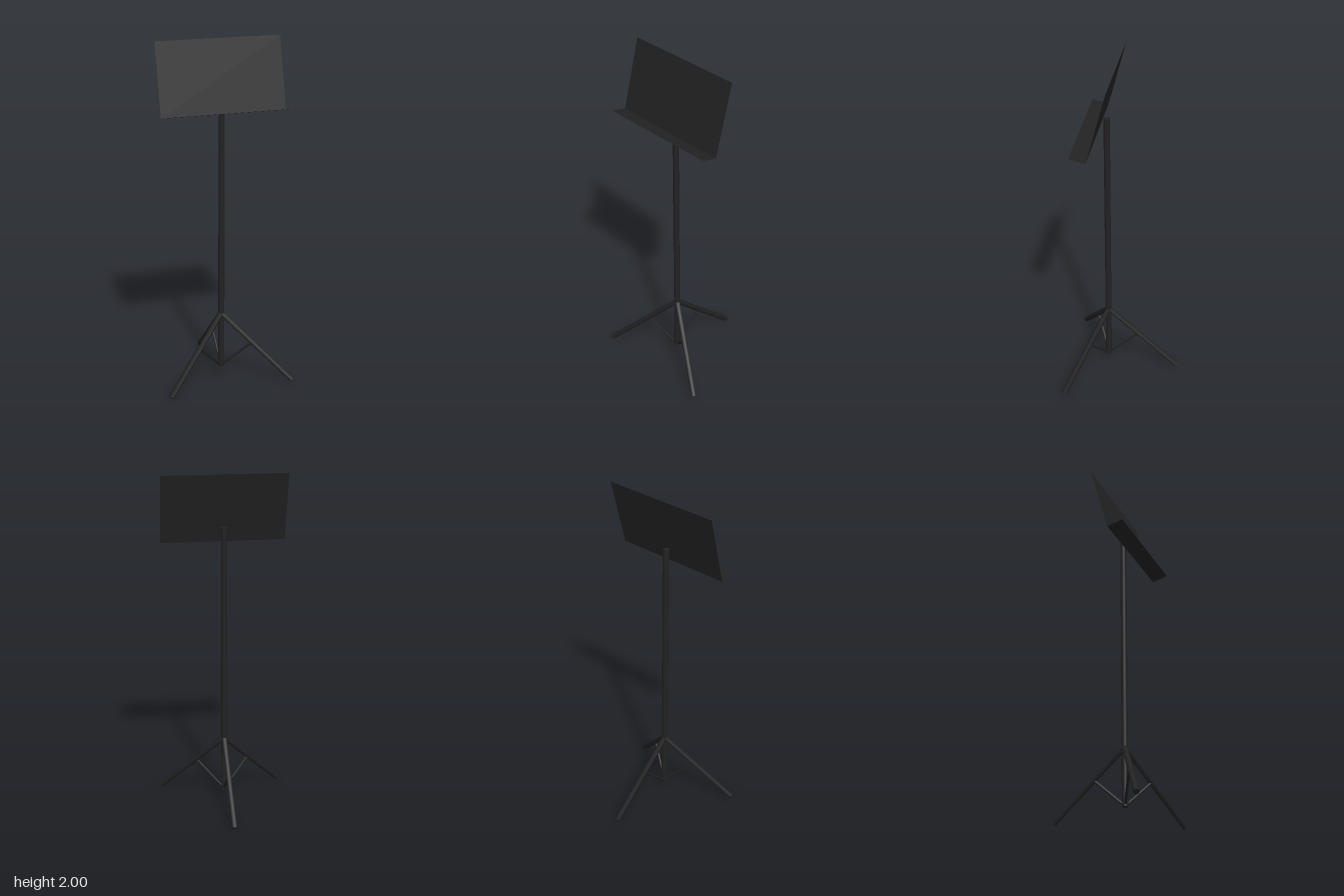
import * as THREE from 'three';

const metal = new THREE.MeshStandardMaterial({ color: 0x222222 });
const sheet = new THREE.MeshStandardMaterial({ color: 0x222222, side: THREE.DoubleSide });
const UP = new THREE.Vector3(0, 1, 0);
const POLE_Z = 0.103;

// Round bar running between two points
function bar(name, from, to, radius, sides) {
  const dir = to.clone().sub(from);
  const mesh = new THREE.Mesh(new THREE.CylinderGeometry(radius, radius, dir.length(), sides), metal);
  mesh.position.copy(from).addScaledVector(dir, 0.5);
  mesh.quaternion.setFromUnitVectors(UP, dir.normalize());
  mesh.name = name;
  return mesh;
}

// Thin sheet spanning the desk width between two (y, z) edges
function panel(name, y0, z0, y1, z1) {
  const geo = new THREE.PlaneGeometry(0.72, Math.hypot(y1 - y0, z1 - z0));
  const mesh = new THREE.Mesh(geo, sheet);
  mesh.position.set(0, (y0 + y1) / 2, (z0 + z1) / 2);
  mesh.rotation.x = Math.atan2(z1 - z0, y1 - y0);
  mesh.name = name;
  return mesh;
}

export function createModel() {
  const stand = new THREE.Group();
  stand.name = 'musicStand';

  // Upright pole
  stand.add(bar('pole', new THREE.Vector3(0, 0.06, POLE_Z), new THREE.Vector3(0, 1.69, POLE_Z), 0.018, 12));

  // Tripod: three legs, each with a thin brace back to the foot of the pole
  const tripod = new THREE.Group();
  tripod.name = 'tripod';
  tripod.position.z = POLE_Z;
  for (let i = 0; i < 3; i++) {
    const unit = new THREE.Group();
    unit.name = 'legUnit';
    unit.add(bar('leg', new THREE.Vector3(0, 0.4, 0), new THREE.Vector3(0, 0.012, -0.425), 0.0165, 6));
    unit.add(bar('brace', new THREE.Vector3(0, 0.065, 0), new THREE.Vector3(0, 0.231, -0.185), 0.008, 6));
    unit.rotation.y = (i * Math.PI * 2) / 3;
    tripod.add(unit);
  }
  stand.add(tripod);

  // Tilted desk and the ledge at right angles to its lower edge
  stand.add(panel('desk', 1.6, 0.154, 2.0, 0.047));
  stand.add(panel('ledge', 1.6, 0.154, 1.624, 0.246));

  return stand;
}
